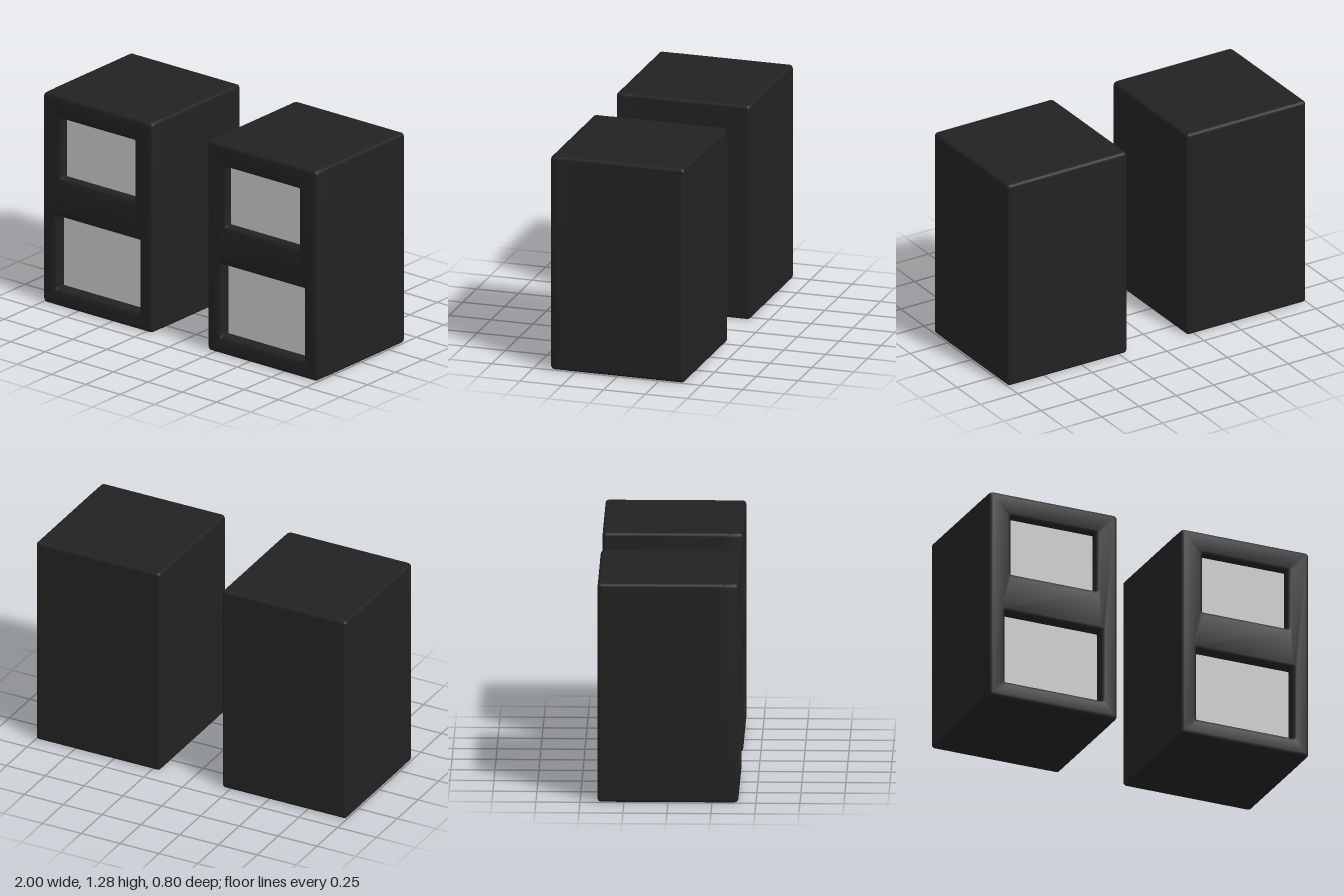
import * as THREE from 'three';
import { RoundedBoxGeometry } from 'three/addons/geometries/RoundedBoxGeometry.js';
import { toCreasedNormals } from 'three/addons/utils/BufferGeometryUtils.js';

const W = 0.8, H = 1.28, D = 0.8; // one cabinet
const EDGE = 0.02;                // bevel on all edges
const FLOOR = 0.32;               // z of the recess floor

// Visible panels: width, height, centre height, depth behind the front face
const PANELS = [
  { name: 'upperPanel', w: 0.53, h: 0.36, y: 0.965, depth: 0.05 },
  { name: 'lowerPanel', w: 0.605, h: 0.44, y: 0.325, depth: 0.072 },
];

function roundedRect(path, w, h, cy, r) {
  const x = w / 2, b = cy - h / 2, t = cy + h / 2;
  path.moveTo(-x + r, b);
  path.lineTo(x - r, b);
  path.quadraticCurveTo(x, b, x, b + r);
  path.lineTo(x, t - r);
  path.quadraticCurveTo(x, t, x - r, t);
  path.lineTo(-x + r, t);
  path.quadraticCurveTo(-x, t, -x, t - r);
  path.lineTo(-x, b + r);
  path.quadraticCurveTo(-x, b, -x + r, b);
  return path;
}

// Front frame with two bevelled openings; its back end is buried in the cabinet
function frameGeometry() {
  const shape = roundedRect(new THREE.Shape(), W - 2 * EDGE, H - 2 * EDGE, H / 2, 0.004);
  for (const p of PANELS) {
    shape.holes.push(roundedRect(new THREE.Path(), p.w + 2 * EDGE, p.h + 2 * EDGE, p.y, 0.025));
  }
  const depth = 0.1;
  const geo = new THREE.ExtrudeGeometry(shape, {
    depth, bevelEnabled: true, bevelSize: EDGE, bevelThickness: EDGE, bevelSegments: 3, curveSegments: 4,
  });
  geo.translate(0, 0, D / 2 - EDGE - depth);
  return toCreasedNormals(geo, 0.65);
}

export function createModel() {
  const black = new THREE.MeshStandardMaterial({ name: 'cabinetBlack', color: 0x222222 });
  const grey = new THREE.MeshStandardMaterial({ name: 'panelGrey', color: 0xc8c8c8 });

  const bodyDepth = FLOOR + D / 2;
  const bodyGeo = new RoundedBoxGeometry(W, H, bodyDepth, 3, EDGE);
  bodyGeo.translate(0, H / 2, (FLOOR - D / 2) / 2);
  const frameGeo = frameGeometry();

  const model = new THREE.Group();
  model.name = 'speakerPair';
  for (const side of [-1, 1]) {
    const speaker = new THREE.Group();
    speaker.name = side > 0 ? 'leftSpeaker' : 'rightSpeaker';
    speaker.position.x = side * 0.6;

    const add = (name, geo, mat) => {
      const mesh = new THREE.Mesh(geo, mat);
      mesh.name = name;
      speaker.add(mesh);
      return mesh;
    };
    add('cabinet', bodyGeo, black);
    add('frontFrame', frameGeo, black);

    // Recessed grey panels, edges tucked into the frame
    for (const p of PANELS) {
      const plate = add(p.name, new THREE.BoxGeometry(p.w + 0.01, p.h + 0.01, 0.008), grey);
      plate.position.set(0, p.y, D / 2 - p.depth - 0.004);
    }
    model.add(speaker);
  }
  return model;
}
